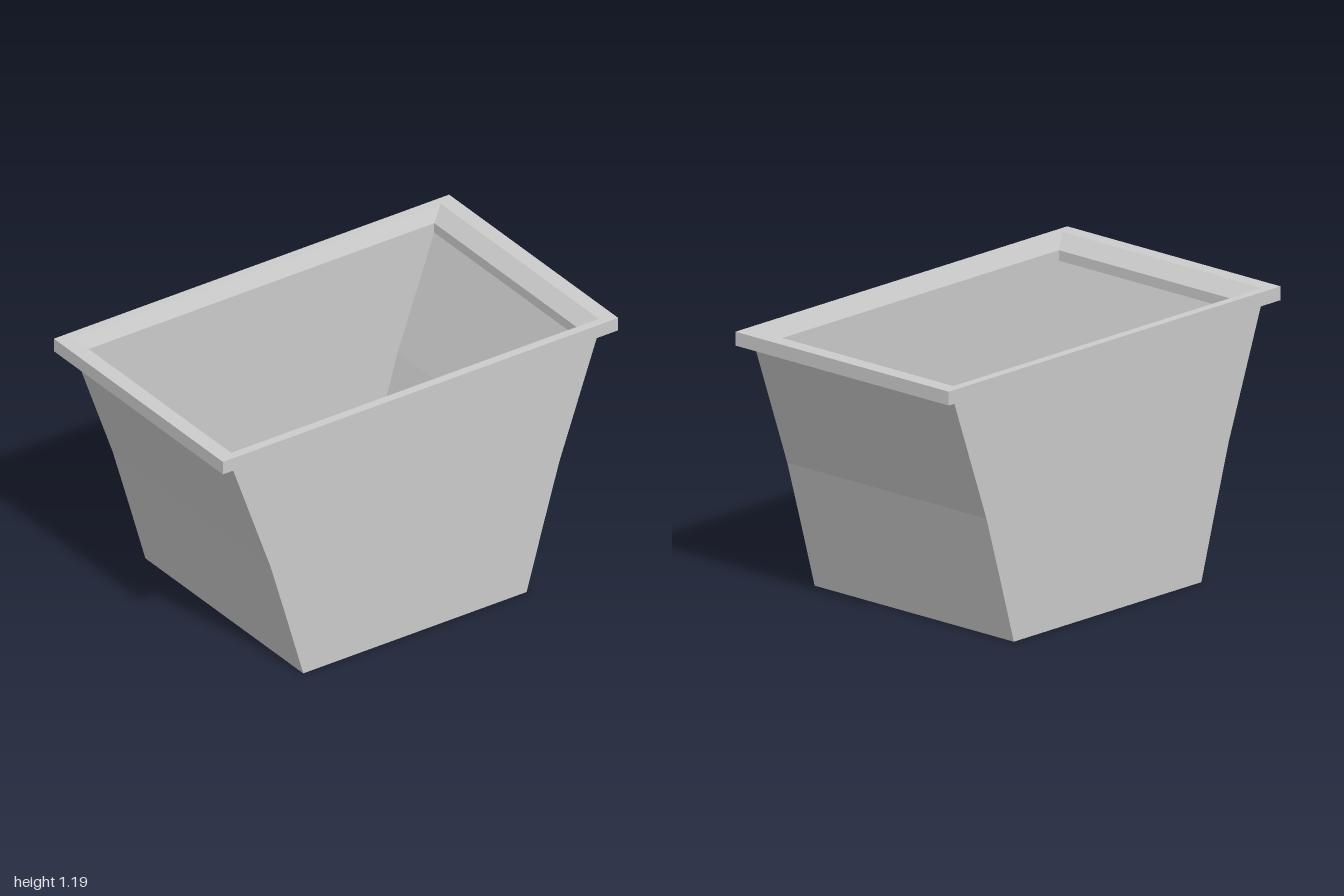
import * as THREE from 'three';

const material = new THREE.MeshStandardMaterial({ color: 0xcccccc, flatShading: true });
const corners = [[1, 1], [1, -1], [-1, -1], [-1, 1]];

// Skin through rectangular sections [halfWidth, height, halfDepth]; a zero section closes an end
function skin(name, sections) {
  const points = [];
  const at = ([w, y, d], k) => {
    const [sx, sz] = corners[k % 4];
    return [sx * w, y, sz * d];
  };
  for (let i = 0; i < sections.length - 1; i++) {
    const lower = sections[i], upper = sections[i + 1];
    for (let k = 0; k < 4; k++) {
      const a = at(lower, k), b = at(lower, k + 1), c = at(upper, k + 1), d = at(upper, k);
      if (lower[0] > 0) points.push(...a, ...b, ...c);
      if (upper[0] > 0) points.push(...a, ...c, ...d);
    }
  }
  const geometry = new THREE.BufferGeometry();
  geometry.setAttribute('position', new THREE.Float32BufferAttribute(points, 3));
  geometry.computeVertexNormals();
  const mesh = new THREE.Mesh(geometry, material);
  mesh.name = name;
  return mesh;
}

export function createModel() {
  const group = new THREE.Group();
  group.name = 'tub';

  // Outer walls: straight sides, flared ends, closed base
  group.add(skin('outerWalls', [
    [0, 0, 0], [0.565, 0, 0.565], [0.565, 0.29, 0.648],
    [0.565, 0.57, 0.73], [0.565, 1.13, 0.93],
  ]));

  // Rim: underside, outer edge, flat top and inner bevel
  group.add(skin('rim', [
    [0.565, 1.13, 0.93], [0.605, 1.13, 1], [0.605, 1.19, 1],
    [0.565, 1.19, 0.93], [0.535, 1.13, 0.875],
  ]));

  // Inner lining: short upright lip, sloping ends and floor
  group.add(skin('innerWalls', [
    [0.535, 1.13, 0.875], [0.535, 1.085, 0.875], [0.535, 0.57, 0.69],
    [0.535, 0.29, 0.608], [0.535, 0.03, 0.525], [0, 0.03, 0],
  ]));

  return group;
}
